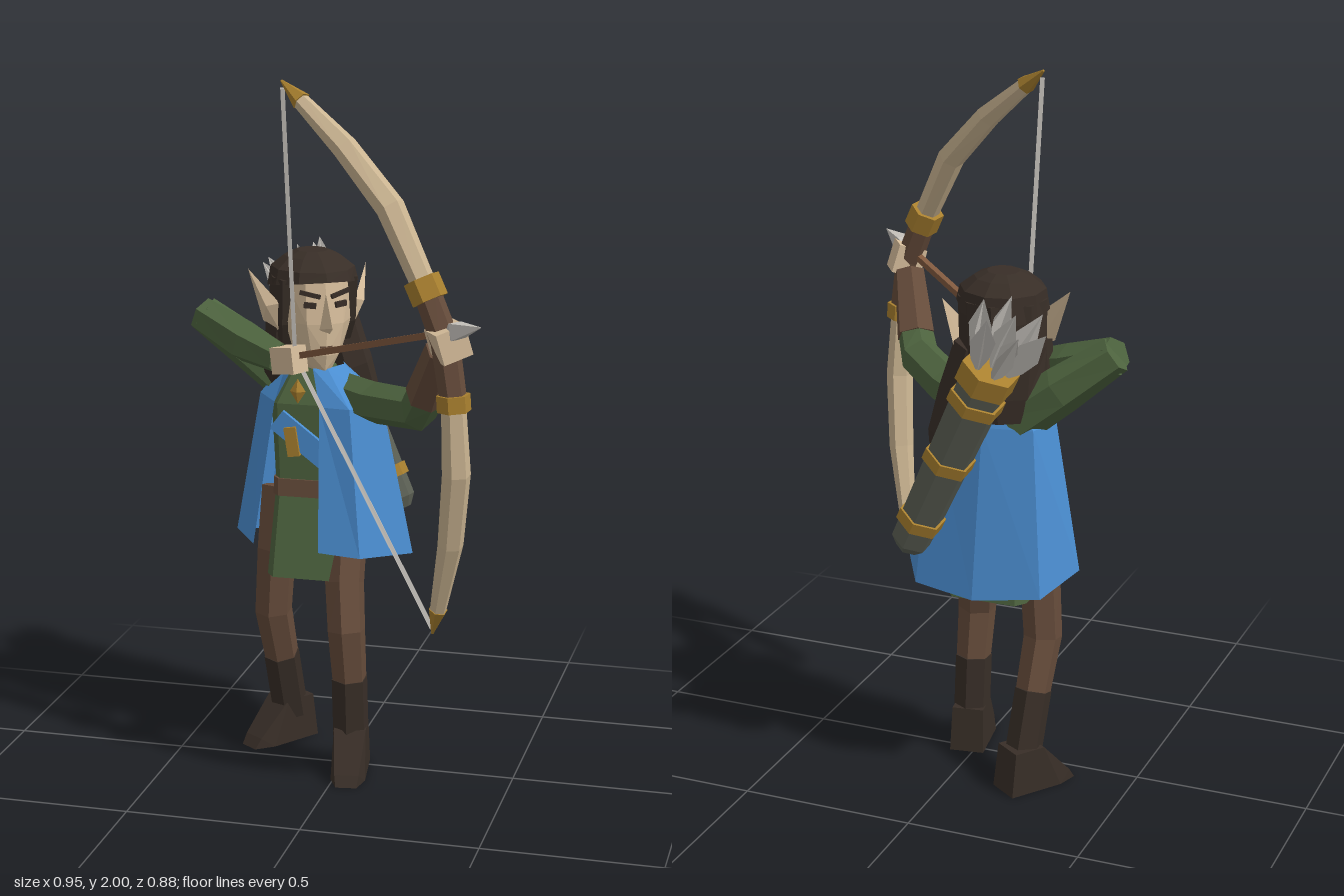
import * as THREE from 'three';
import { ConvexGeometry } from 'three/addons/geometries/ConvexGeometry.js';

const V = (a) => new THREE.Vector3(a[0], a[1], a[2]);
const paint = (name, color, side = THREE.FrontSide) => {
  const m = new THREE.MeshStandardMaterial({ color, side });
  m.name = name;
  return m;
};

export function createModel() {
  const skin = paint('skin', 0xd6bd9b), wood = paint('pale wood', 0xcbb592);
  const dark = paint('dark brown', 0x382e27), shaft = paint('arrow wood', 0x80593e);
  const brown = paint('brown leather', 0x664c3b), green = paint('green cloth', 0x4e643f);
  const blue = paint('blue cloth', 0x4a8dd0, THREE.DoubleSide), gold = paint('gold', 0xa9802f);
  const grey = paint('grey leather', 0x5c6055), feather = paint('pale grey', 0xc4c0ba, THREE.DoubleSide);

  const model = new THREE.Group();
  model.name = 'archer';
  const add = (name, geo, mat, parent = model) => {
    const flat = geo.index ? geo.toNonIndexed() : geo;
    flat.computeVertexNormals();
    const mesh = new THREE.Mesh(flat, mat);
    mesh.name = name;
    parent.add(mesh);
    return mesh;
  };

  // Skin over a stack of cross-sections
  const loft = (rings, closed = true) => {
    const out = [], n = rings[0].length;
    const tri = (...p) => p.forEach((q) => out.push(q.x, q.y, q.z));
    for (let i = 0; i < rings.length - 1; i++) {
      for (let j = 0; j < (closed ? n : n - 1); j++) {
        const k = (j + 1) % n;
        const a = rings[i][j], b = rings[i][k], c = rings[i + 1][k], d = rings[i + 1][j];
        tri(a, b, c);
        tri(a, c, d);
      }
    }
    if (closed) {
      const first = rings[0], last = rings[rings.length - 1];
      for (let j = 1; j < n - 1; j++) {
        tri(first[0], first[j + 1], first[j]);
        tri(last[0], last[j], last[j + 1]);
      }
    }
    const g = new THREE.BufferGeometry();
    g.setAttribute('position', new THREE.Float32BufferAttribute(out, 3));
    return g;
  };

  // Faceted tube through points [x, y, z, radius]
  const limb = (name, mat, pts, sides = 6, ref = [0, 0, 1]) => {
    const rings = pts.map((p, i) => {
      const t = V(pts[Math.min(i + 1, pts.length - 1)]).sub(V(pts[Math.max(i - 1, 0)])).normalize();
      const u = V(ref).cross(t).normalize(), v = t.clone().cross(u);
      return Array.from({ length: sides }, (_, j) => {
        const a = ((j + 0.5) / sides) * Math.PI * 2, r = p[3] / Math.cos(Math.PI / sides);
        return V(p).addScaledVector(u, r * Math.cos(a)).addScaledVector(v, r * Math.sin(a));
      });
    });
    return add(name, loft(rings), mat);
  };

  // Mirrored cross-section: half outline from front to back on the +x side
  const mirrorRing = (y, half) => {
    const left = half.map(([x, z]) => new THREE.Vector3(x, y, z));
    const right = half.filter(([x]) => x > 0).map(([x, z]) => new THREE.Vector3(-x, y, z));
    return [...left, ...right.reverse()];
  };
  const box = (name, mat, size, pos, rot = [0, 0, 0], parent = model) => {
    const m = add(name, new THREE.BoxGeometry(...size), mat, parent);
    m.position.set(...pos);
    m.rotation.set(...rot);
    return m;
  };
  // Oval cross-section; tilt raises the front and lowers the back
  const ovalRing = (y, cx, cz, rx, rz, n = 8, tilt = 0) => Array.from({ length: n }, (_, j) => {
    const a = ((j + 0.5) / n) * Math.PI * 2;
    return new THREE.Vector3(cx + rx * Math.cos(a), y - tilt * Math.sin(a), cz - rz * Math.sin(a));
  });
  // Boxy cross-section with slightly cut corners
  const boxRing = (y, cx, cz, w, d) => [[1, 0.75], [1, -0.75], [0.8, -1], [-0.8, -1], [-1, -0.75], [-1, 0.75], [-0.8, 1], [0.8, 1]]
    .map(([x, z]) => new THREE.Vector3(cx + x * w, y, cz + z * d));

  // Legs and boots
  limb('leftTrouser', brown, [[0, 0.7, -0.03, 0.052], [0.005, 0.56, 0.02, 0.05], [0.02, 0.43, 0.058, 0.048], [0.025, 0.28, 0.042, 0.044]]);
  limb('rightTrouser', brown, [[-0.215, 0.8, -0.1, 0.05], [-0.22, 0.62, -0.065, 0.05], [-0.232, 0.43, -0.068, 0.048], [-0.222, 0.28, -0.115, 0.044]]);
  limb('leftShaft', dark, [[0.025, 0.28, 0.042, 0.046], [0.027, 0.08, 0.03, 0.046]]);
  limb('rightShaft', dark, [[-0.222, 0.28, -0.115, 0.046], [-0.21, 0.08, -0.17, 0.046]]);
  const footPoints = [];
  for (const s of [-1, 1]) {
    footPoints.push(V([s * 0.046, 0.13, -0.05]), V([s * 0.046, 0.13, 0.045]), V([s * 0.05, 0, -0.065]),
      V([s * 0.05, 0, 0.1]), V([s * 0.035, 0.03, 0.14]), V([s * 0.03, 0, 0.16]));
  }
  for (const [name, x, z, turn] of [['leftFoot', 0.027, 0.03, 0.15], ['rightFoot', -0.212, -0.175, -0.62]]) {
    const f = add(name, new ConvexGeometry(footPoints), dark);
    f.position.set(x, 0, z);
    f.rotation.y = turn;
  }

  // Tunic, belt, sash and neck
  add('tunic', loft([
    boxRing(0.57, -0.105, -0.078, 0.118, 0.132), boxRing(0.83, -0.12, -0.09, 0.088, 0.088),
    boxRing(1.07, -0.11, -0.09, 0.11, 0.09), boxRing(1.17, -0.11, -0.09, 0.055, 0.055)]), green);
  add('belt', loft([boxRing(0.8, -0.118, -0.09, 0.097, 0.098), boxRing(0.85, -0.12, -0.09, 0.094, 0.094)]), brown);
  add('neck', loft([ovalRing(1.1, -0.115, -0.09, 0.05, 0.05), ovalRing(1.24, -0.115, -0.09, 0.05, 0.05)]), skin);
  box('sash', blue, [0.22, 0.065, 0.02], [-0.11, 0.96, 0.004], [0, 0, -0.65]);
  box('sashBuckle', gold, [0.035, 0.085, 0.02], [-0.15, 0.965, 0.014], [0, 0, 0.15]);
  const brooch = add('brooch', new THREE.OctahedronGeometry(0.033), gold);
  brooch.position.set(-0.13, 1.115, 0.025);
  brooch.scale.set(0.7, 1.1, 0.5);

  // Cape, open at the front
  const cape = [
    [[-0.09, 0.01], [-0.05, 0], [-0.02, -0.07], [-0.04, -0.14], [-0.1, -0.17], [-0.17, -0.16], [-0.19, -0.09], [-0.15, 0.005]],
    [[-0.06, 0.055], [0.03, 0.065], [0.1, -0.04], [0.06, -0.16], [-0.1, -0.205], [-0.24, -0.18], [-0.27, -0.08], [-0.2, 0.02]],
    [[-0.05, 0.11], [0.07, 0.105], [0.185, -0.065], [0.09, -0.23], [-0.1, -0.28], [-0.29, -0.25], [-0.35, -0.1], [-0.26, 0.04]]];
  const hem = [0.67, 0.66, 0.635, 0.605, 0.6, 0.62, 0.66, 0.66];
  add('cape', loft(cape.map((r, i) => r.map(([x, z], j) => V([x, [1.18, 1.08, hem[j]][i], z]))), false), blue);

  // Head, turned along the arrow
  const head = new THREE.Group();
  head.name = 'head';
  head.position.set(-0.12, 0, -0.1);
  head.rotation.y = 0.55;
  model.add(head);
  const faceRings = [[1.175, 0.04, 0.125], [1.22, 0.07, 0.138], [1.31, 0.098, 0.142], [1.44, 0.098, 0.128]];
  add('face', new ConvexGeometry(faceRings.flatMap(([y, x, z]) =>
    mirrorRing(y, [[0, z], [x * 0.55, z - 0.015], [x, z * 0.4], [x * 0.8, -0.05]]))), skin, head);
  add('nose', new ConvexGeometry([[0, 1.4, 0.13], [0, 1.31, 0.195], [0.022, 1.295, 0.13], [-0.022, 1.295, 0.13], [0, 1.29, 0.17]].map(V)), skin, head);
  box('mouth', brown, [0.035, 0.006, 0.008], [0, 1.245, 0.135], [0, 0, 0], head);
  for (const s of [-1, 1]) {
    add('ear', new ConvexGeometry([[0.1, 1.265, 0.04], [0.11, 1.36, 0.05], [0.14, 1.3, -0.02], [0.145, 1.35, 0.03], [0.175, 1.445, -0.05]]
      .map(([x, y, z]) => V([s * x, y, z]))), skin, head);
    box('brow', dark, [0.06, 0.012, 0.009], [s * 0.044, 1.395, 0.126], [0, s * 0.27, s * 0.25], head);
    box('eye', dark, [0.035, 0.016, 0.009], [s * 0.045, 1.365, 0.128], [0, s * 0.27, s * 0.1], head);
  }
  add('hairCap', loft([ovalRing(1.405, 0, 0.005, 0.128, 0.143, 10, 0.025), ovalRing(1.455, 0, 0.003, 0.118, 0.132, 10),
    ovalRing(1.485, 0, 0, 0.08, 0.088, 10), ovalRing(1.5, 0, 0, 0.045, 0.05, 10)]), dark, head);
  const hairRings = [[1.1, 0.075, -0.03, -0.12], [1.17, 0.1, 0.01, -0.128], [1.3, 0.12, 0.065, -0.128], [1.43, 0.122, 0.08, -0.12]];
  add('longHair', loft(hairRings.map(([y, x, f, b]) =>
    mirrorRing(y, [[x * 0.9, f], [x, f * 0.7 + b * 0.3], [x * 0.9, b * 0.6 + f * 0.4 - 0.02], [x * 0.45, b]]))), dark, head);
  limb('leftHairLock', dark, [[0.04, 0.94, -0.2, 0.01], [0.02, 1.04, -0.18, 0.042], [-0.02, 1.16, -0.16, 0.055], [-0.06, 1.3, -0.16, 0.05]]);
  limb('rightHairLock', dark, [[-0.24, 1.08, -0.1, 0.01], [-0.22, 1.16, -0.08, 0.035], [-0.2, 1.3, -0.06, 0.04]]);

  // Arms and hands
  const up = [0, 1, 0];
  limb('leftSleeve', green, [[-0.01, 1.1, -0.06, 0.05], [0.1, 1.1, 0.04, 0.052], [0.255, 1.125, 0.19, 0.05], [0.285, 1.18, 0.23, 0.046]], 6, up);
  limb('leftBracer', brown, [[0.283, 1.175, 0.226, 0.05], [0.35, 1.33, 0.335, 0.04]], 6, up);
  limb('rightUpperArm', green, [[-0.17, 1.085, -0.13, 0.06], [-0.3, 1.19, -0.125, 0.058], [-0.445, 1.3, -0.1, 0.046]], 6, up);
  limb('rightForearm', green, [[-0.445, 1.295, -0.1, 0.046], [-0.3, 1.235, -0.045, 0.054], [-0.185, 1.205, 0.012, 0.04]], 6, up);
  box('rightHand', skin, [0.085, 0.075, 0.06], [-0.15, 1.21, 0.045], [0, -0.5, 0.15]);
  box('leftHand', skin, [0.085, 0.085, 0.085], [0.375, 1.36, 0.375], [0, 0.6, 0.3]);

  // Bow
  const bowRef = [0.8, 0, 0.6];
  limb('upperBowTip', gold, [[-0.14, 2.0, 0.14, 0.003], [-0.075, 1.95, 0.172, 0.024]], 6, bowRef);
  limb('upperBowLimb', wood, [[-0.08, 1.953, 0.17, 0.02], [0.06, 1.84, 0.235, 0.03], [0.2, 1.695, 0.3, 0.034], [0.31, 1.49, 0.355, 0.029]], 6, bowRef);
  limb('upperBowRing', gold, [[0.295, 1.52, 0.349, 0.043], [0.322, 1.465, 0.358, 0.043]], 6, bowRef);
  limb('bowGrip', brown, [[0.31, 1.49, 0.355, 0.032], [0.365, 1.36, 0.37, 0.034], [0.39, 1.2, 0.375, 0.032]], 6, bowRef);
  limb('lowerBowRing', gold, [[0.389, 1.22, 0.375, 0.04], [0.392, 1.175, 0.375, 0.04]], 6, bowRef);
  limb('lowerBowLimb', wood, [[0.39, 1.2, 0.375, 0.029], [0.398, 1.0, 0.365, 0.034], [0.375, 0.79, 0.32, 0.031], [0.33, 0.58, 0.262, 0.02]], 6, bowRef);
  limb('lowerBowTip', gold, [[0.331, 0.585, 0.263, 0.023], [0.31, 0.505, 0.238, 0.003]], 6, bowRef);
  limb('bowString', feather, [[-0.137, 1.98, 0.14, 0.006], [-0.133, 1.22, 0.04, 0.006], [0.31, 0.52, 0.24, 0.006]], 4, [0.3, 0, 1]);

  // Drawn arrow
  limb('arrowShaft', shaft, [[-0.133, 1.22, 0.04, 0.009], [0.41, 1.4, 0.41, 0.009]], 4, up);
  limb('arrowHead', feather, [[0.375, 1.388, 0.385, 0.006], [0.4, 1.396, 0.402, 0.023], [0.475, 1.42, 0.453, 0.001]], 4, up);

  // Quiver, bands and feathers
  const quiver = new THREE.Group();
  quiver.name = 'quiver';
  quiver.position.set(0.1, 0.73, -0.24);
  quiver.quaternion.setFromUnitVectors(V(up), V([-0.28, 0.575, -0.085]).normalize());
  model.add(quiver);
  const drum = (name, mat, r1, r0, h, y) => {
    add(name, new THREE.CylinderGeometry(r1, r0, h, 6), mat, quiver).position.y = y;
  };
  drum('quiverBody', grey, 0.072, 0.058, 0.58, 0.3);
  drum('quiverFoot', grey, 0.058, 0.035, 0.03, -0.005);
  for (const [y, r, h] of [[0.09, 0.068, 0.035], [0.31, 0.073, 0.035], [0.52, 0.079, 0.035], [0.605, 0.082, 0.06]]) drum('quiverBand', gold, r, r, h, y);
  const vane = new THREE.Shape([[0, 0], [0.024, 0.05], [0.034, 0.11], [0, 0.19], [-0.034, 0.11], [-0.024, 0.05]].map(([x, y]) => new THREE.Vector2(x, y)));
  for (let i = 0; i < 7; i++) {
    const a = (i / 6) * Math.PI * 2, r = i === 6 ? 0 : 0.045;
    const fletching = new THREE.Group();
    fletching.name = 'fletching';
    fletching.position.set(r * Math.cos(a), 0.625, r * Math.sin(a));
    fletching.rotation.set(r * Math.sin(a) * 6, 0, -r * Math.cos(a) * 6);
    quiver.add(fletching);
    for (let k = 0; k < 2; k++) add('vane', new THREE.ShapeGeometry(vane), feather, fletching).rotation.y = a + (k * Math.PI) / 2;
  }
  return model;
}
